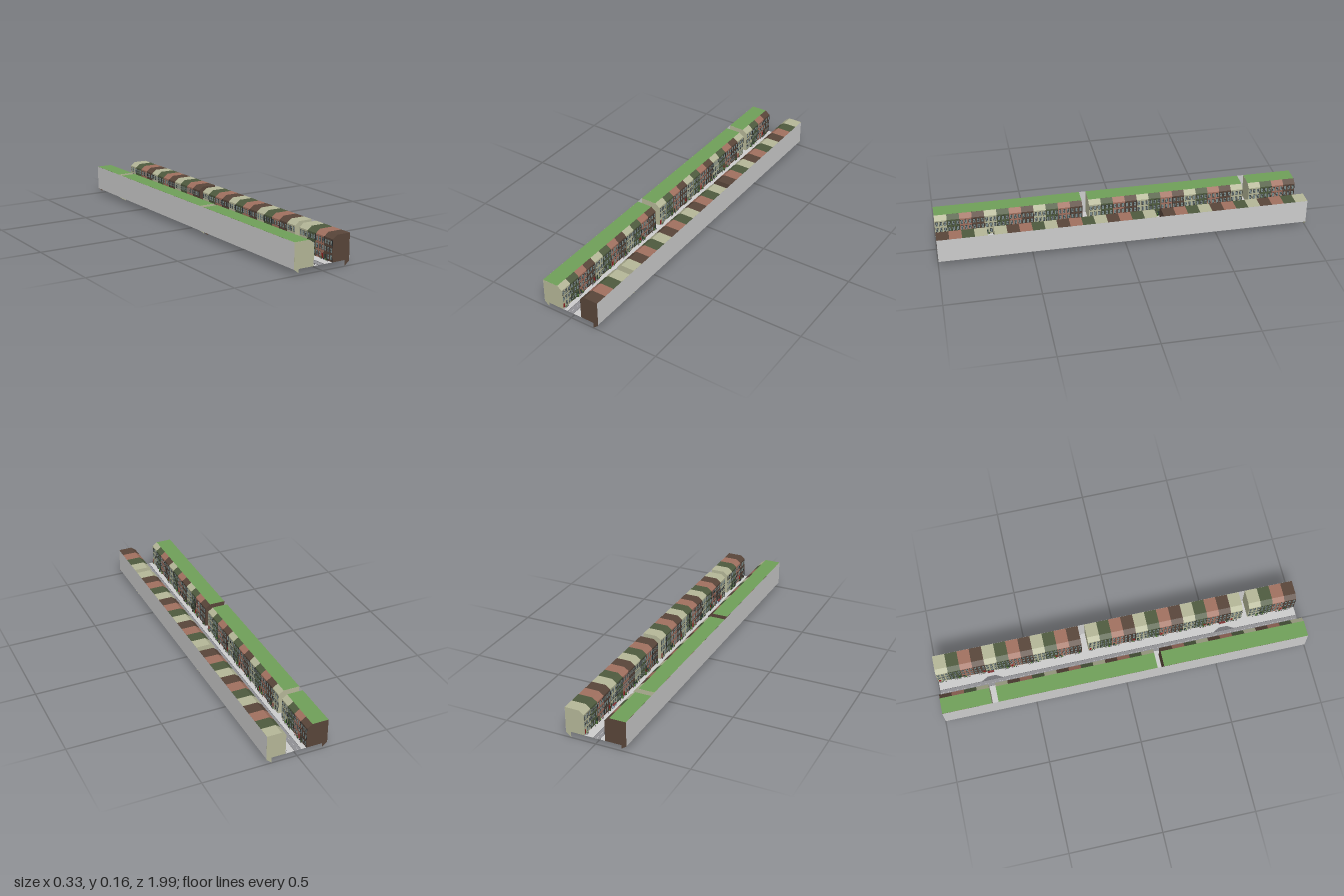
import * as THREE from 'three';
import { mergeGeometries } from 'three/addons/utils/BufferGeometryUtils.js';

const GROUND = 0.03, EAVES = 0.144, TOP = 0.163;
const WIDTH = 0.0663, ALLEY = 0.036, LENGTH = 29 * WIDTH + 2 * ALLEY;
const HOUSE_COLORS = [0xb4b697, 0x4e5a3e, 0xa0705f, 0x584539];

const material = (color, double = false) => new THREE.MeshStandardMaterial({
  color, flatShading: true, side: double ? THREE.DoubleSide : THREE.FrontSide });

function mesh(parent, name, geometry, mat) {
  const m = new THREE.Mesh(geometry, mat);
  m.name = name;
  parent.add(m);
  return m;
}
const box = (w, h, d, x, y, z) => new THREE.BoxGeometry(w, h, d).translate(x, y, z);
const polygon = pts => new THREE.Shape(pts.map(p => new THREE.Vector2(p[0], p[1])));
// Flat sheet outlined in x and z
const floor = (pts, y) => new THREE.ShapeGeometry(polygon(pts.map(p => [p[0], -p[1]])))
  .rotateX(-Math.PI / 2).translate(0, y, 0);
const rect = (x0, x1, z0, z1) => [[x0, z0], [x1, z0], [x1, z1], [x0, z1]];

// A terrace of 12, 13 and 4 houses with its street side towards -x
function terrace(name, { face, slope, back, flap, grass }) {
  const row = new THREE.Group();
  row.name = name;
  const profile = polygon([[face, GROUND], [back, GROUND], [back, TOP], [slope, TOP], [face, EAVES]]);
  const houseGeo = new THREE.ExtrudeGeometry(profile, { depth: WIDTH, bevelEnabled: false });
  const flapGeo = new THREE.ShapeGeometry(polygon(flap));
  const parts = { frames: [], panes: [], doors: [], redDoors: [], steps: [], bushes: [], railings: [], seams: [] };
  let z = -LENGTH / 2, n = 0;

  for (const count of [12, 13, 4]) {
    const start = z;
    for (let i = 0; i < count; i++, n++, z += WIDTH) {
      const color = HOUSE_COLORS[i % 4];
      mesh(row, 'house', houseGeo, material(color)).position.z = z;
      // Foundation flaps at the open ends of each block
      if (i === 0) mesh(row, 'foundationFlap', flapGeo, material(color, true)).position.z = z;
      if (i === count - 1) mesh(row, 'foundationFlap', flapGeo, material(color, true)).position.z = z + WIDTH;

      // Three bays of windows on three floors, with a door in the first bay
      for (let f = 0; f < 3; f++) for (let b = 0; b < 3; b++) {
        const wz = z + WIDTH * (b + 0.5) / 3, wy = GROUND + 0.021 + f * 0.036;
        if (f === 0 && b === n % 2 * 2) {
          (n % 3 ? parts.doors : parts.redDoors).push(box(0.0012, 0.028, 0.011, face, GROUND + 0.014, wz));
          parts.steps.push(box(0.006, 0.003, 0.013, face - 0.003, GROUND + 0.0015, wz));
          continue;
        }
        parts.frames.push(box(0.001, 0.025, 0.014, face, wy, wz));
        for (const sy of [-1, 1]) for (const sz of [-1, 1])
          parts.panes.push(box(0.0016, 0.0105, 0.0053, face, wy + sy * 0.0059, wz + sz * 0.0033));
      }
      // Front garden planting and railing
      const r = 0.0035 + 0.0006 * (n * 7 % 4);
      const side = n % 2 ? 0.75 : 0.3;
      parts.bushes.push(
        new THREE.IcosahedronGeometry(r, 0).scale(0.8, 1.3, 1).translate(face - 0.004, GROUND + r, z + WIDTH * side),
        new THREE.IcosahedronGeometry(r * 0.8, 0).translate(face - 0.004, GROUND + r * 2.6, z + WIDTH * side));
      parts.railings.push(box(0.0008, 0.0008, WIDTH * 0.55, face - 0.0075, GROUND + 0.01, z + WIDTH * (n % 2 ? 0.65 : 0.35)));
      for (let p = 0; p < 5; p++)
        parts.railings.push(box(0.0008, 0.01, 0.0008, face - 0.0075, GROUND + 0.005, z + WIDTH * ((n % 2 ? 0.39 : 0.09) + p * 0.13)));
      // Drainpipe on the party line
      parts.seams.push(box(0.001, EAVES - GROUND, 0.001, face, (EAVES + GROUND) / 2, z + WIDTH * 0.99));
    }
    // Planted roof over the block
    if (grass) mesh(row, 'grassRoof', floor(rect(slope, back, start, z), TOP + 0.0004), material(0x6f9f58, true));
    z += ALLEY;
  }
  const colors = { frames: 0x2b2b2b, panes: 0x7d8d8c, doors: 0x2d4038, redDoors: 0x8c2020,
    steps: 0x999999, bushes: 0x4a7a2c, railings: 0x222222, seams: 0x2b2b2b };
  for (const key in parts) mesh(row, key, mergeGeometries(parts[key]), material(colors[key]));

  // Rear boundary wall, unbroken across the alleys
  mesh(row, 'rearWall', new THREE.PlaneGeometry(LENGTH, TOP - GROUND).rotateY(Math.PI / 2)
    .translate(back + 0.0005, (TOP + GROUND) / 2, 0), material(0xcccccc, true));
  return row;
}

export function createModel() {
  const street = new THREE.Group();
  street.name = 'terracedStreet';
  const h = LENGTH / 2;

  // Ground, carriageway and kerbs
  mesh(street, 'pavement', floor(rect(-0.165, 0.163, -h, h), GROUND), material(0xcccccc, true));
  mesh(street, 'road', floor(rect(-0.023, 0.012, -h, h), GROUND + 0.0003), material(0x909094, true));
  mesh(street, 'roadUnderside', floor(rect(-0.023, 0.012, -h, h), GROUND - 0.0003), material(0x777777, true));
  const dashes = [];
  for (let i = 0; i < 50; i++) dashes.push(floor(rect(-0.006, -0.0045, -h + i * 0.04, -h + i * 0.04 + 0.022), GROUND + 0.0007));
  mesh(street, 'centreLine', mergeGeometries(dashes), material(0xd8d8d8, true));
  for (const x of [-0.023, 0.012])
    mesh(street, 'kerbLine', box(0.0012, 0.001, LENGTH, x, GROUND + 0.0004, 0), material(0x606064));

  // Lay-bys, each with a glazed shelter
  for (const z of [-0.71, 0.585]) {
    const bay = [[0.012, z - 0.06], [0.033, z - 0.022], [0.033, z + 0.022], [0.012, z + 0.06]];
    for (const y of [0.0006, -0.0006])
      mesh(street, 'layBy', floor(bay, GROUND + y), material(0x737377, true));
    const shelter = new THREE.Group();
    shelter.name = 'shelter';
    shelter.position.set(0.051, GROUND, z);
    mesh(shelter, 'shelterRoof', box(0.012, 0.001, 0.034, 0, 0.02, 0), material(0x7a3030));
    mesh(shelter, 'shelterBack', box(0.0006, 0.017, 0.034, 0.0055, 0.0115, 0), material(0x8aa0b0));
    for (const s of [-1, 1])
      mesh(shelter, 'shelterSide', box(0.011, 0.017, 0.0006, 0, 0.0115, s * 0.0165), material(0x9fb4c4));
    mesh(shelter, 'shelterPosts', mergeGeometries([-1, 1].map(s => box(0.001, 0.02, 0.001, 0.0055, 0.01, s * 0.0165))), material(0x333333));
    street.add(shelter);
  }

  street.add(terrace('leftTerrace', { face: 0.061, slope: 0.086, back: 0.163,
    flap: [[0.135, GROUND], [0.135, 0], [0.163, 0.024], [0.163, GROUND]] }));
  const right = terrace('rightTerrace', { face: 0.051, slope: 0.078, back: 0.165, grass: true,
    flap: [[0.138, GROUND], [0.138, 0.009], [0.165, GROUND]] });
  right.rotation.y = Math.PI;
  street.add(right);
  return street;
}
